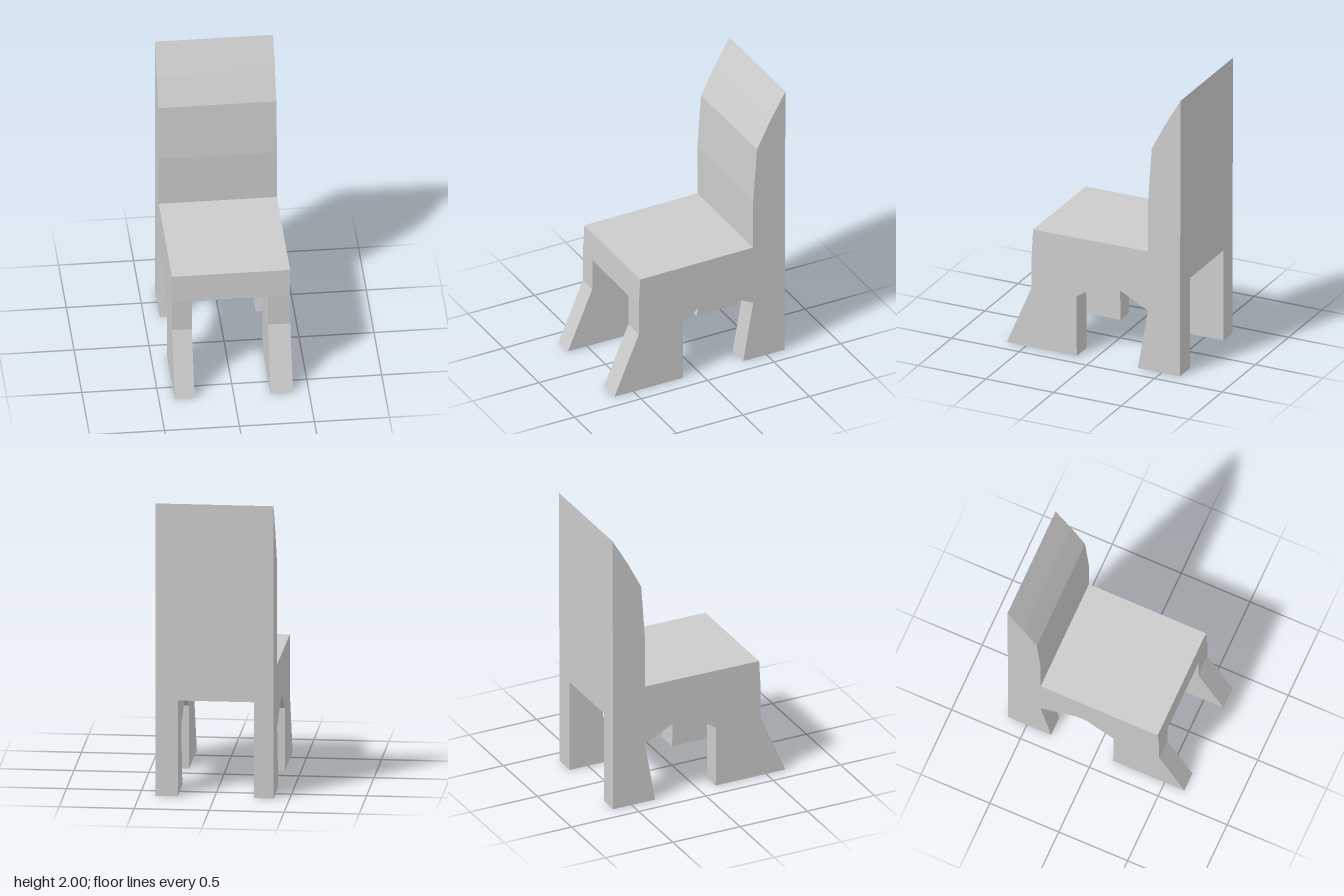
import * as THREE from 'three';

const material = new THREE.MeshStandardMaterial({ color: 0xcccccc, flatShading: true });

// Extrude a side profile of [z, y] points across the width from x0 to x1.
function slab(name, profile, x0, x1) {
  const shape = new THREE.Shape(profile.map(([z, y]) => new THREE.Vector2(z, y)));
  const geometry = new THREE.ExtrudeGeometry(shape, { depth: x1 - x0, bevelEnabled: false });
  geometry.rotateY(-Math.PI / 2).translate(x1, 0, 0);
  const mesh = new THREE.Mesh(geometry, material);
  mesh.name = name;
  return mesh;
}

export function createModel() {
  const group = new THREE.Group();
  group.name = 'chair';
  const halfWidth = 0.394;
  const railY = 0.655; // underside of the seat between the legs

  // Seat and backrest in one piece, the backrest sloping back to a sharp top edge
  group.add(slab('seatAndBackrest', [
    [-0.637, railY], [0.46, railY], [0.449, 0.853], [-0.4, 0.86], [-0.4, 1.22],
    [-0.428, 1.61], [-0.525, 1.8], [-0.642, 2],
  ], -halfWidth, halfWidth));

  // Side frames: splayed front leg and tapered back leg joined by an arch
  const legs = [
    [-0.636, 0], [-0.325, 0], [-0.4, 0.43], [-0.147, 0.56], [-0.068, 0.56],
    [0.13, 0.43], [0.126, 0], [0.643, 0], [0.46, 0.43], [0.46, railY], [-0.637, railY],
  ];
  group.add(slab('leftLegs', legs, 0.245, halfWidth));
  group.add(slab('rightLegs', legs, -halfWidth, -0.262));

  return group;
}
